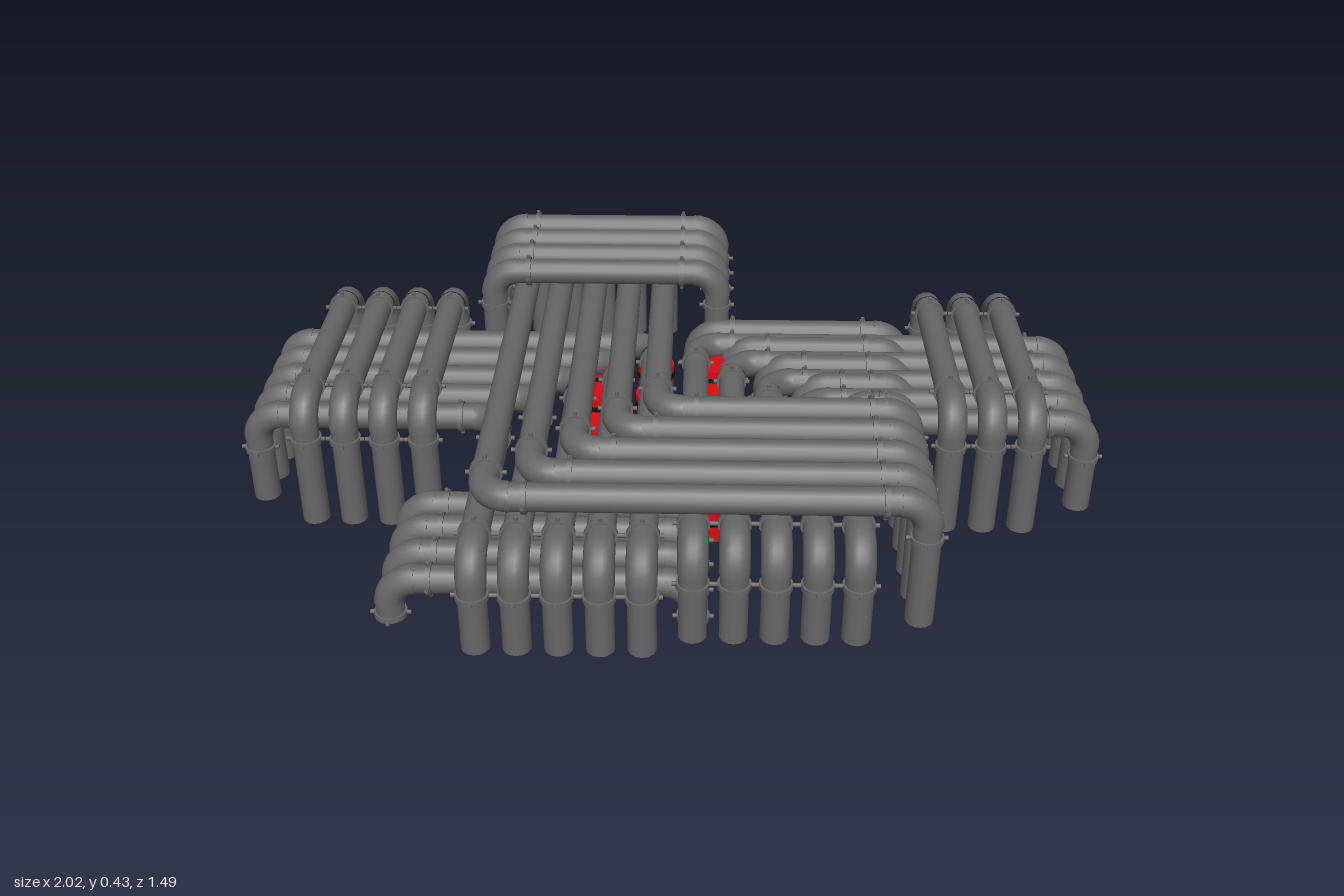
import * as THREE from 'three';
import { mergeGeometries } from 'three/addons/utils/BufferGeometryUtils.js';

const R = 0.031, BEND = 0.06, RING = 0.09;
const V = (x, y, z) => new THREE.Vector3(x, y, z);
const UP = V(0, 1, 0);

// Cylinder between two points
function rod(a, b, r, sides = 14) {
  const d = b.clone().sub(a);
  const g = new THREE.CylinderGeometry(r, r, d.length(), sides);
  g.applyQuaternion(new THREE.Quaternion().setFromUnitVectors(UP, d.normalize()));
  return g.translate((a.x + b.x) / 2, (a.y + b.y) / 2, (a.z + b.z) / 2);
}

// Bolted collar centred on p, facing along d
function collar(p, d) {
  const side = Math.abs(d.y) > 0.5 ? V(1, 0, 0) : V(-d.z, 0, d.x);
  const other = new THREE.Vector3().crossVectors(d, side);
  const at = (v, k) => p.clone().addScaledVector(v, k);
  return [
    rod(at(d, -0.006), at(d, 0.006), 0.036),
    rod(at(side, -0.044), at(side, 0.044), 0.005, 6),
    rod(at(other, -0.044), at(other, 0.044), 0.005, 6),
  ];
}

// Pipe along corner points, with a smooth elbow and two collars at each corner
function pipeGeometry(points) {
  const parts = [];
  let start = points[0];
  for (let i = 1; i < points.length - 1; i++) {
    const c = points[i];
    const din = c.clone().sub(points[i - 1]).normalize();
    const dout = points[i + 1].clone().sub(c).normalize();
    const a = c.clone().addScaledVector(din, -BEND);
    const b = c.clone().addScaledVector(dout, BEND);
    parts.push(rod(start, a, R));
    const k = 0.45 * BEND;
    const curve = new THREE.CubicBezierCurve3(a, c.clone().addScaledVector(din, -k),
      c.clone().addScaledVector(dout, -0).addScaledVector(dout, k), b);
    parts.push(new THREE.TubeGeometry(curve, 8, R + 0.002, 14));
    parts.push(...collar(c.clone().addScaledVector(din, -RING), din));
    parts.push(...collar(c.clone().addScaledVector(dout, RING), dout));
    start = b;
  }
  parts.push(rod(start, points[points.length - 1], R));
  return mergeGeometries(parts);
}

export function createModel() {
  const model = new THREE.Group();
  const steel = new THREE.MeshStandardMaterial({ color: 0x666666 });
  const red = new THREE.MeshStandardMaterial({ color: 0xdd0a12 });
  const black = new THREE.MeshStandardMaterial({ color: 0x111111 });

  // A bank of pipes; each plan path is a list of [x, z], with a leg at both ends
  function bank(name, count, height, plan) {
    const group = new THREE.Group();
    group.name = name;
    for (let i = 0; i < count; i++) {
      const path = plan(i);
      const first = path[0], last = path[path.length - 1];
      const points = [V(first[0], 0, first[1]),
        ...path.map(([x, z]) => V(x, height, z)), V(last[0], 0, last[1])];
      const mesh = new THREE.Mesh(pipeGeometry(points), steel);
      mesh.name = 'pipe';
      group.add(mesh);
    }
    model.add(group);
  }

  // Arches across the two wings and over the back
  bank('rightWingArches', 4, 0.308, i => [[-0.83 + i * 0.09, -0.325], [-0.83 + i * 0.09, 0.237]]);
  bank('leftWingArches', 3, 0.308, i => [[0.64 + i * 0.09, -0.325], [0.64 + i * 0.09, 0.237]]);
  bank('backArches', 4, 0.383, i => [[-0.455, -0.57 + i * 0.09], [0.11, -0.57 + i * 0.09]]);

  // Nested corner pipes from the back, turning to the left side
  bank('upperCornerPipes', 5, 0.305, i => {
    const x = -0.38 + i * 0.088, z = 0.585 - i * 0.088;
    return [[x, -0.705], [x, z], [0.545, z]];
  });

  // Nested corner pipes from each wing, turning to the front
  bank('rightCornerPipes', 5, 0.225, i => {
    const x = -0.395 + i * 0.0875, z = 0.145 - i * 0.0885;
    return [[-0.968, z], [x, z], [x, 0.695]];
  });
  bank('leftCornerPipes', 5, 0.225, i => {
    const x = 0.405 - i * 0.0865, z = 0.145 - i * 0.0885;
    return [[0.968, z], [x, z], [x, 0.648]];
  });

  // Straight pipes inside the left corner
  bank('innerPipes', 5, 0.23, i => {
    const z = -0.272 + i * 0.088;
    return [[0.06 + i * 0.0865, z], [0.57, z]];
  });

  // Low feed pipes
  bank('lowFrontPipes', 4, 0.1, i => [[-0.59, 0.325 + i * 0.091], [0.06, 0.325 + i * 0.091]]);
  bank('lowBackPipes', 4, 0.1, i => [[0.262 + i * 0.091, -0.425], [0.262 + i * 0.091, 0.05]]);

  // Red drums with black bands, standing in the middle
  const drums = new THREE.Group();
  drums.name = 'drums';
  for (const x of [-0.18, -0.04, 0.1]) {
    for (const z of [-0.14, 0, 0.14, 0.275]) {
      const drum = new THREE.Group();
      drum.name = 'drum';
      const body = new THREE.Mesh(new THREE.CylinderGeometry(0.045, 0.045, 0.21, 18), red);
      body.name = 'drumBody';
      body.position.y = 0.105;
      drum.add(body);
      for (const y of [0.05, 0.185]) {
        const band = new THREE.Mesh(new THREE.CylinderGeometry(0.047, 0.047, 0.014, 18), black);
        band.name = 'drumBand';
        band.position.y = y;
        drum.add(band);
      }
      drum.position.set(x, 0, z);
      drums.add(drum);
    }
  }
  model.add(drums);
  return model;
}
